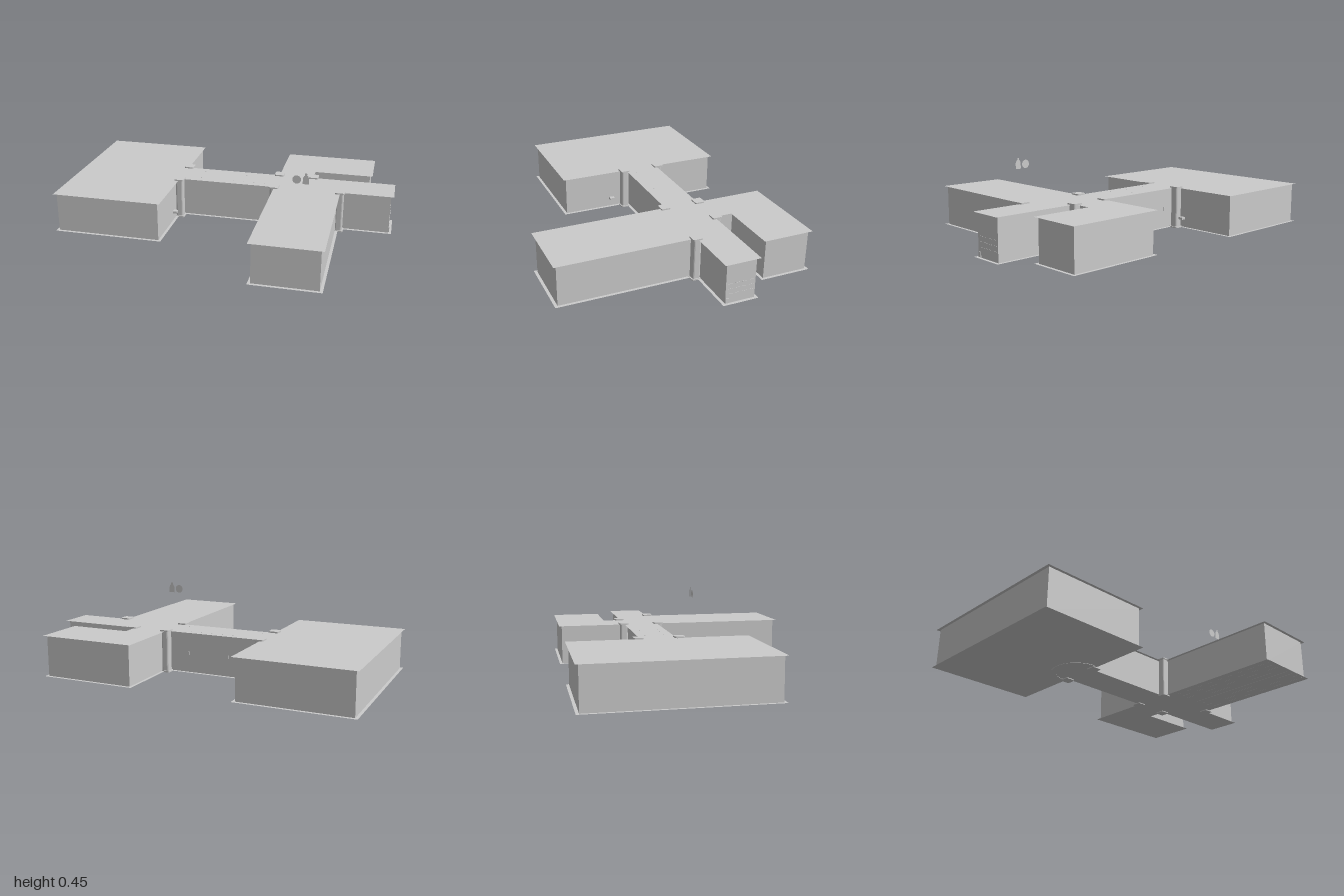
import * as THREE from 'three';

// Outline of roof and floor as [x, z], walked so the inside lies on the right
const OUTLINE = [
  [-1, -0.72], [-0.33, -0.72], [-0.33, -0.3], [0.275, -0.3], [0.275, -0.715], [0.855, -0.715],
  [0.855, -0.41], [0.49, -0.41], [0.49, -0.3], [1, -0.3], [1, -0.09], [0.68, -0.09],
  [0.68, 0.72], [0.275, 0.72], [0.275, -0.09], [-0.33, -0.09], [-0.33, 0.335], [-1, 0.335],
];
const FLOOR = 0.005, ROOF = 0.245, INSET = 0.017;

// Move a right-angled outline inwards by d
function inset(points, d) {
  const n = points.length;
  const normal = (a, b) => [-Math.sign(b[1] - a[1]), Math.sign(b[0] - a[0])];
  return points.map((p, i) => {
    const n1 = normal(points[(i + n - 1) % n], p);
    const n2 = normal(p, points[(i + 1) % n]);
    return [p[0] + (n1[0] + n2[0]) * d, p[1] + (n1[1] + n2[1]) * d];
  });
}

// Square with rounded corners, used for the columns
function roundedSquare(size, r) {
  const h = size / 2, s = new THREE.Shape();
  s.absarc(h - r, h - r, r, 0, Math.PI / 2);
  s.absarc(-h + r, h - r, r, Math.PI / 2, Math.PI);
  s.absarc(-h + r, -h + r, r, Math.PI, Math.PI * 1.5);
  s.absarc(h - r, -h + r, r, Math.PI * 1.5, Math.PI * 2);
  return s;
}

export function createModel() {
  const model = new THREE.Group();
  const mat = new THREE.MeshStandardMaterial({ color: 0xcccccc, side: THREE.DoubleSide });
  const add = (name, geo, x = 0, y = 0, z = 0, parent = model) => {
    const m = new THREE.Mesh(geo, mat);
    m.name = name;
    m.position.set(x, y, z);
    parent.add(m);
    return m;
  };

  // Thin roof and floor sheets that overhang the walls
  const plan = new THREE.Shape(OUTLINE.map(([x, z]) => new THREE.Vector2(x, -z)));
  const sheet = new THREE.ShapeGeometry(plan).rotateX(-Math.PI / 2);
  add('roof', sheet, 0, ROOF, 0);
  add('floor', sheet, 0, FLOOR, 0);

  // One wall sheet per side of the outline
  const walls = new THREE.Group();
  walls.name = 'walls';
  model.add(walls);
  const corners = inset(OUTLINE, INSET);
  corners.forEach((a, i) => {
    const b = corners[(i + 1) % corners.length];
    const dx = b[0] - a[0], dz = b[1] - a[1];
    const wall = add('wall', new THREE.PlaneGeometry(Math.hypot(dx, dz), ROOF - FLOOR),
      (a[0] + b[0]) / 2, (ROOF + FLOOR) / 2, (a[1] + b[1]) / 2, walls);
    wall.rotation.y = Math.atan2(dz, -dx);
  });

  // Columns with a cap and a base at the inner corners
  const prism = (size, r, depth) => new THREE.ExtrudeGeometry(roundedSquare(size, r),
    { depth, bevelEnabled: false, curveSegments: 3 }).rotateX(-Math.PI / 2);
  const shaft = prism(0.048, 0.012, 0.24), cap = prism(0.06, 0.01, 0.008);
  const spots = [[-0.325, -0.31], [-0.325, -0.075], [0.275, -0.305],
    [0.275, -0.085], [0.493, -0.305], [0.68, -0.085]];
  for (const [x, z] of spots) {
    const column = new THREE.Group();
    column.name = 'column';
    column.position.set(x, 0, z);
    add('shaft', shaft, 0, 0.007, 0, column);
    add('base', cap, 0, 0, 0, column);
    add('cap', cap, 0, 0.247, 0, column);
    model.add(column);
  }

  // Half-round step on the floor where the corridor meets the large room
  const step = new THREE.Shape();
  step.absarc(0, 0, 0.155, Math.PI / 2, Math.PI * 1.5, false);
  step.absarc(0, 0, 0.13, Math.PI * 1.5, Math.PI / 2, true);
  add('curvedStep', new THREE.ExtrudeGeometry(step, { depth: 0.012, bevelEnabled: false, curveSegments: 16 })
    .rotateX(-Math.PI / 2), -0.35, 0.003, -0.19);

  // Rail ends that come through the wall beside the columns
  for (const z of [-0.35, 0.01]) add('railEnd', new THREE.BoxGeometry(0.03, 0.014, 0.03), -0.336, 0.06, z);

  // Sconce backs on the rear corridor wall
  for (const x of [0.135, 0.005, -0.115, -0.245])
    add('sconce', new THREE.BoxGeometry(0.006, 0.022, 0.005), x, 0.12, -0.284);

  // Ceiling lights of the corridor, just showing through the roof
  const light = new THREE.CylinderGeometry(0.003, 0.003, 0.006, 6);
  for (let i = 0; i < 8; i++)
    for (const z of [-0.25, -0.14]) add('ceilingLight', light, -0.27 + i * 0.068, 0.243, z);

  // Shelf edges on the corridor's end wall
  for (const y of [0.06, 0.09, 0.12])
    for (let i = 0; i < 4; i++)
      add('shelfEdge', new THREE.BoxGeometry(0.004, 0.003, 0.025), 0.983, y, -0.26 + i * 0.042);
  add('endBox', new THREE.BoxGeometry(0.008, 0.03, 0.02), 0.983, 0.022, -0.12);

  // Floorboard seams under the front room
  for (let i = 0; i < 8; i++)
    add('boardSeam', new THREE.BoxGeometry(0.002, 0.001, 0.7), 0.315 + i * 0.046, FLOOR, 0.35);

  // Flat disc and bottle hovering over the front room
  add('disc', new THREE.CircleGeometry(0.025, 24), 0.45, 0.415, 0.185);
  const bottle = new THREE.Shape([[-0.018, 0], [0.018, 0], [0.018, 0.035], [0.012, 0.048], [0.006, 0.053],
    [0.006, 0.065], [-0.006, 0.065], [-0.006, 0.053], [-0.012, 0.048], [-0.018, 0.035],
  ].map(([x, y]) => new THREE.Vector2(x, y)));
  add('bottle', new THREE.ShapeGeometry(bottle), 0.503, 0.39, 0.185);

  return model;
}
